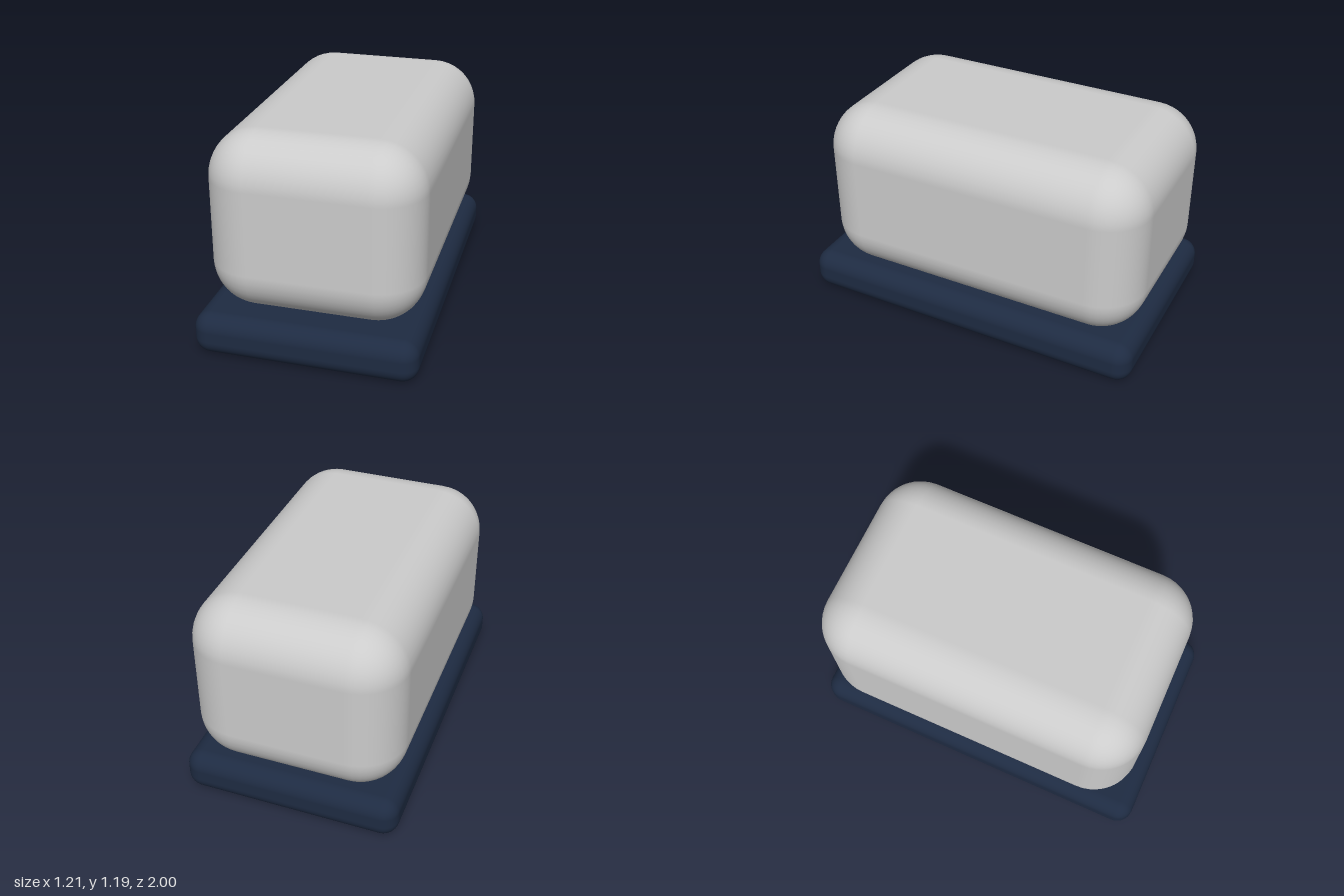
import * as THREE from 'three';
import { RoundedBoxGeometry } from 'three/addons/geometries/RoundedBoxGeometry.js';

// Rounded block given by its size, edge radius and the position of its bottom centre
function block(name, [w, h, d], radius, y, z, color) {
  const mesh = new THREE.Mesh(
    new RoundedBoxGeometry(w, h, d, 6, radius),
    new THREE.MeshStandardMaterial({ color })
  );
  mesh.name = name;
  mesh.position.set(0, y + h / 2, z);
  return mesh;
}

export function createModel() {
  const group = new THREE.Group();
  group.name = 'blockOnBase';

  // Flat dark slab that stands on the ground
  group.add(block('base', [1.21, 0.235, 2], 0.09, 0, 0, 0x1e2b42));

  // Soft-edged body, sunk slightly into the slab and set toward the back
  group.add(block('body', [1.16, 0.99, 1.885], 0.26, 0.2, -0.037, 0xcccccc));

  return group;
}
